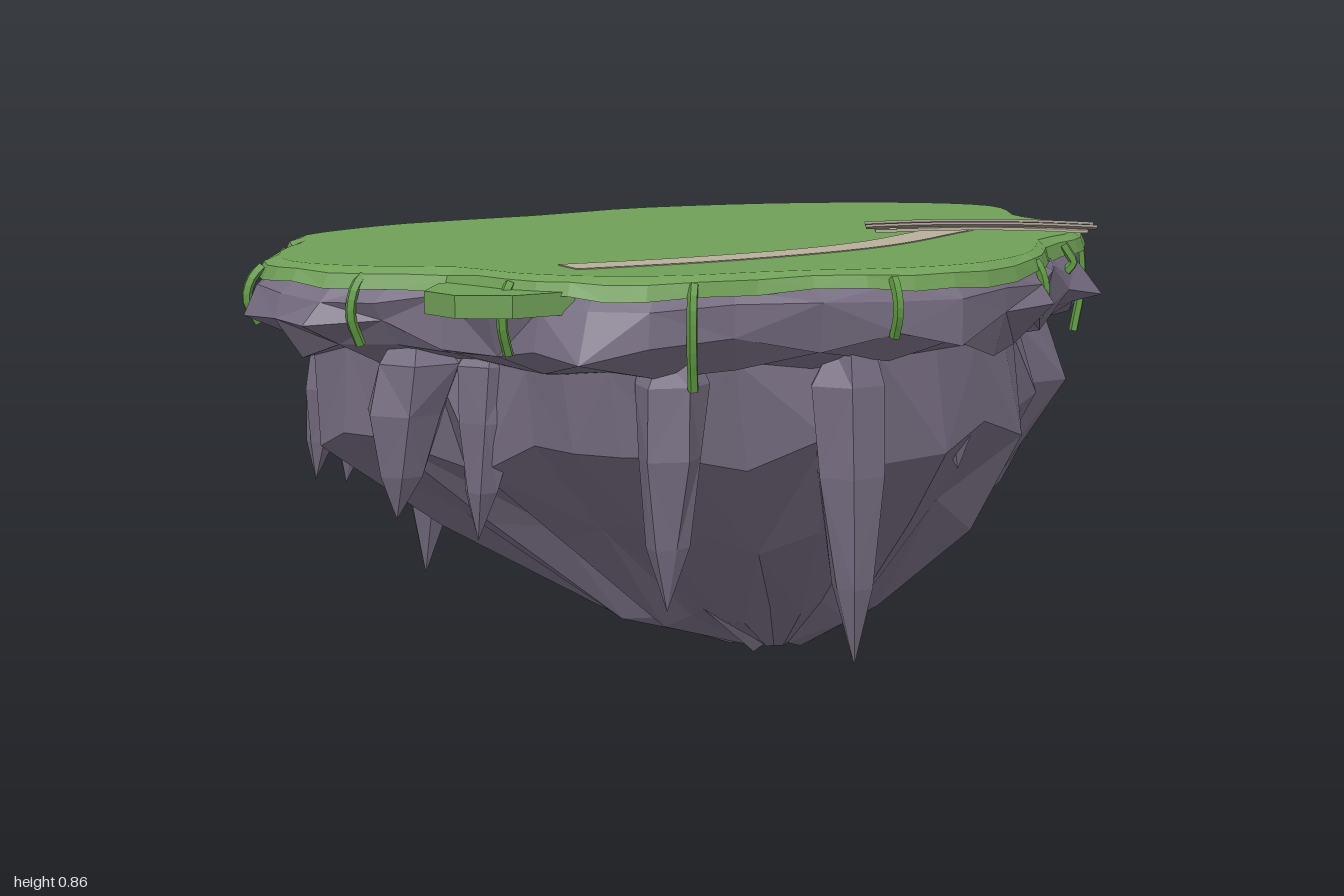
import * as THREE from 'three';

const mat = (name, color) =>
  Object.assign(new THREE.MeshStandardMaterial({ color, flatShading: true }), { name });

// small seeded random, -1..1
let seed = 7;
const rnd = () => {
  seed = (seed * 16807) % 2147483647;
  return (seed / 2147483647) * 2 - 1;
};

// island outline seen from above, x and z
const OUTLINE = [
  [0.95, -0.15], [0.88, -0.03], [0.8, 0.06], [0.75, 0.2], [0.65, 0.36], [0.55, 0.44],
  [0.4, 0.49], [0.3, 0.57], [0.15, 0.67], [-0.05, 0.72], [-0.22, 0.68], [-0.4, 0.58],
  [-0.62, 0.5], [-0.73, 0.4], [-0.79, 0.28], [-0.81, 0.12], [-0.92, 0], [-0.98, -0.13],
  [-0.96, -0.25], [-0.85, -0.4], [-0.75, -0.49], [-0.68, -0.6], [-0.53, -0.66], [-0.35, -0.69],
  [0, -0.66], [0.25, -0.67], [0.45, -0.62], [0.65, -0.53], [0.8, -0.42], [0.92, -0.28],
];
const outline = new THREE.CatmullRomCurve3(
  OUTLINE.map(([x, z]) => new THREE.Vector3(x, 0, z)), true);
const ringOf = (n, fn) => Array.from({ length: n }, (_, i) => fn(outline.getPoint(i / n), i));

// skin over equal-sized rings listed from top to bottom
function loft(rings) {
  const pos = [];
  for (let r = 0; r < rings.length - 1; r++) {
    const n = rings[r].length;
    for (let i = 0; i < n; i++) {
      const k = (i + 1) % n;
      const a = rings[r][i], c = rings[r][k], b = rings[r + 1][i], d = rings[r + 1][k];
      const tris = (i + r) % 2 ? [a, c, b, c, d, b] : [a, c, d, a, d, b];
      tris.forEach((p) => pos.push(p.x, p.y, p.z));
    }
  }
  const g = new THREE.BufferGeometry();
  g.setAttribute('position', new THREE.Float32BufferAttribute(pos, 3));
  g.computeVertexNormals();
  return g;
}

// flat horizontal plate from x,z points
function plate(points, y, depth) {
  const shape = new THREE.Shape(points.map(([x, z]) => new THREE.Vector2(x, -z)));
  const g = new THREE.ExtrudeGeometry(shape, { depth, bevelEnabled: false });
  return g.rotateX(-Math.PI / 2).translate(0, y, 0);
}

export function createModel() {
  seed = 7;
  const group = new THREE.Group();
  group.name = 'floatingIsland';
  const grass = mat('grass green', 0x709f57);
  const rock = mat('rock purple grey', 0x756c80);
  const vine = mat('vine green', 0x5f9842);
  const path = mat('path tan', 0xb8af9b);
  const rail = mat('rail brown', 0x8a7f72);
  const add = (name, geo, material, parent = group) => {
    const m = new THREE.Mesh(geo, material);
    m.name = name;
    parent.add(m);
    return m;
  };

  // grass cap: flat top, steep flared side and underside
  const N = 64;
  const wave = ringOf(N, (_, i) => 0.004 * Math.sin(i * 0.9) + 0.003 * Math.sin(i * 2.3));
  const grassRing = (s, y, k) =>
    ringOf(N, (p, i) => new THREE.Vector3(p.x * s, y + wave[i] * k, p.z * s));
  add('grassTop', loft([
    grassRing(0, 0.841, 0), grassRing(0.962, 0.841, 0), grassRing(0.99, 0.83, 0.6),
    grassRing(1.002, 0.804, 1.2), grassRing(0, 0.804, 0),
  ]), grass);

  // rock body: jagged rim, undercut, steep wall, ribbed cone
  const M = 42;
  const rib = Array.from({ length: M }, (_, i) => (i % 2 ? 1 : -1) * 0.6 + rnd() * 0.7);
  const rockRing = (s, y, jr, jy, cx = 0, cz = 0, ribAmt = 0) => ringOf(M, (p, i) => {
    const k = s * (1 + rnd() * jr + rib[i] * ribAmt);
    return new THREE.Vector3(
      THREE.MathUtils.clamp(p.x * k + cx, -1, 1),
      Math.max(0, y + rnd() * jy),
      THREE.MathUtils.clamp(p.z * k + cz, -0.73, 0.72));
  });
  add('rockBody', loft([
    rockRing(0.97, 0.812, 0, 0),
    rockRing(1, 0.785, 0.02, 0.012),
    rockRing(1.02, 0.72, 0.045, 0.03),
    rockRing(0.955, 0.685, 0.03, 0.025),
    rockRing(0.89, 0.668, 0.02, 0.015),
    rockRing(0.89, 0.5, 0.03, 0.06, 0.03, 0, 0.05),
    rockRing(0.68, 0.32, 0.04, 0.04, 0.05, 0.01, 0.075),
    rockRing(0.36, 0.11, 0.05, 0.025, 0.05, 0.045, 0.1),
    rockRing(0.1, 0.008, 0.15, 0.008, 0.05, 0.06, 0.15),
    rockRing(0, 0.015, 0, 0, 0.05, 0.06),
  ]), rock);

  // hanging rock spikes: tip x, tip y, tip z, radius
  const spikes = new THREE.Group();
  spikes.name = 'rockSpikes';
  group.add(spikes);
  [
    [-0.26, 0.11, 0.61, 0.075], [-0.59, 0.24, 0.47, 0.075], [-0.73, 0.33, 0.1, 0.07],
    [-0.84, 0.37, 0.0, 0.08], [-0.82, 0.4, -0.3, 0.06], [-0.4, 0.11, -0.54, 0.08],
    [0.7, 0.13, -0.2, 0.07], [0.84, 0.33, 0.05, 0.06],
    [0.02, 0.44, 0.6, 0.06], [0.1, 0.4, -0.58, 0.06],
    [0.45, 0.36, -0.54, 0.06], [-0.62, 0.34, -0.5, 0.06], [0.74, 0.4, -0.38, 0.06],
  ].forEach(([x, y, z, r]) => {
    const h = 0.7 - y;
    const rows = [[0.6, 0], [1, 0.12], [0.9, 0.4], [0.5, 0.75], [0, 1]];
    const turn = rnd() * 3;
    const rings = rows.map(([w, t]) => Array.from({ length: 6 }, (_, i) => {
      const a = turn + (i / 6) * Math.PI * 2, k = r * w * (1 + rnd() * 0.2);
      const lean = 0.94 + 0.06 * t;
      return new THREE.Vector3(x * lean + Math.cos(a) * k, 0.7 - h * t, z * lean + Math.sin(a) * k);
    }));
    add('rockSpike', loft(rings), rock, spikes);
  });

  // small grassy ledge on one side, just under the cap
  const ledge = [[-0.72, 0.14], [-0.82, 0.12], [-0.91, 0.2], [-0.91, 0.29], [-0.84, 0.36], [-0.72, 0.38]];
  add('grassLedge', plate(ledge, 0.775, 0.04), grass);

  // vines draped over the rim: point on the outline, lower end
  const vines = new THREE.Group();
  vines.name = 'vines';
  group.add(vines);
  [
    [0.92, -0.28, 0.74], [0.84, 0.02, 0.56], [0.72, 0.28, 0.61], [0.47, 0.47, 0.77],
    [0.18, 0.65, 0.72], [-0.23, 0.675, 0.72], [-0.57, 0.52, 0.64], [-0.79, 0.28, 0.7],
    [-0.91, 0.0, 0.7], [-0.96, -0.26, 0.72], [-0.76, -0.49, 0.7], [-0.35, -0.69, 0.74],
    [0.3, -0.665, 0.74],
  ].forEach(([x, z, y]) => {
    const at = (s, h) => new THREE.Vector3(x * s, h, z * s);
    const curve = new THREE.CatmullRomCurve3([
      at(0.99, 0.825), at(1.01, 0.805), at(1.022, (0.81 + y) / 2), at(1, y)]);
    add('vine', new THREE.TubeGeometry(curve, 8, 0.01, 5), vine, vines);
  });

  // curved footpath lying on the grass
  const line = new THREE.CatmullRomCurve3(
    [[-0.64, 0.26], [-0.4, 0.32], [-0.1, 0.345], [0.1, 0.32], [0.35, 0.235], [0.61, 0.15]]
      .map(([x, z]) => new THREE.Vector3(x, 0, z)));
  const edge = (side) => Array.from({ length: 21 }, (_, i) => {
    const p = line.getPoint(i / 20), t = line.getTangent(i / 20);
    return [p.x - t.z * side, p.z + t.x * side];
  });
  add('footpath', plate([...edge(0.042), ...edge(-0.042).reverse()], 0.841, 0.002), path);

  // low arched deck bridge with two raised rails, running out to the rim
  const bridge = new THREE.Group();
  bridge.name = 'bridge';
  bridge.position.set(0.415, 0.846, 0.285);
  bridge.rotation.y = -Math.atan2(0.31, 0.33);
  group.add(bridge);
  const arch = (u) => 0.006 * (1 - u * u);
  for (let i = 0; i < 10; i++) {
    const u = (i - 4.5) / 5;
    const plank = add('plank', new THREE.BoxGeometry(0.0435, 0.006, 0.1), path, bridge);
    plank.position.set(u * 0.215, arch(u), 0);
  }
  for (const side of [-1, 1]) {
    const pts = [-1, -0.5, 0, 0.5, 1].map((u) =>
      new THREE.Vector3(u * 0.235, arch(u) + 0.008, side * 0.034));
    add('bridgeRail', new THREE.TubeGeometry(new THREE.CatmullRomCurve3(pts), 10, 0.005, 5), rail, bridge);
  }
  return group;
}
